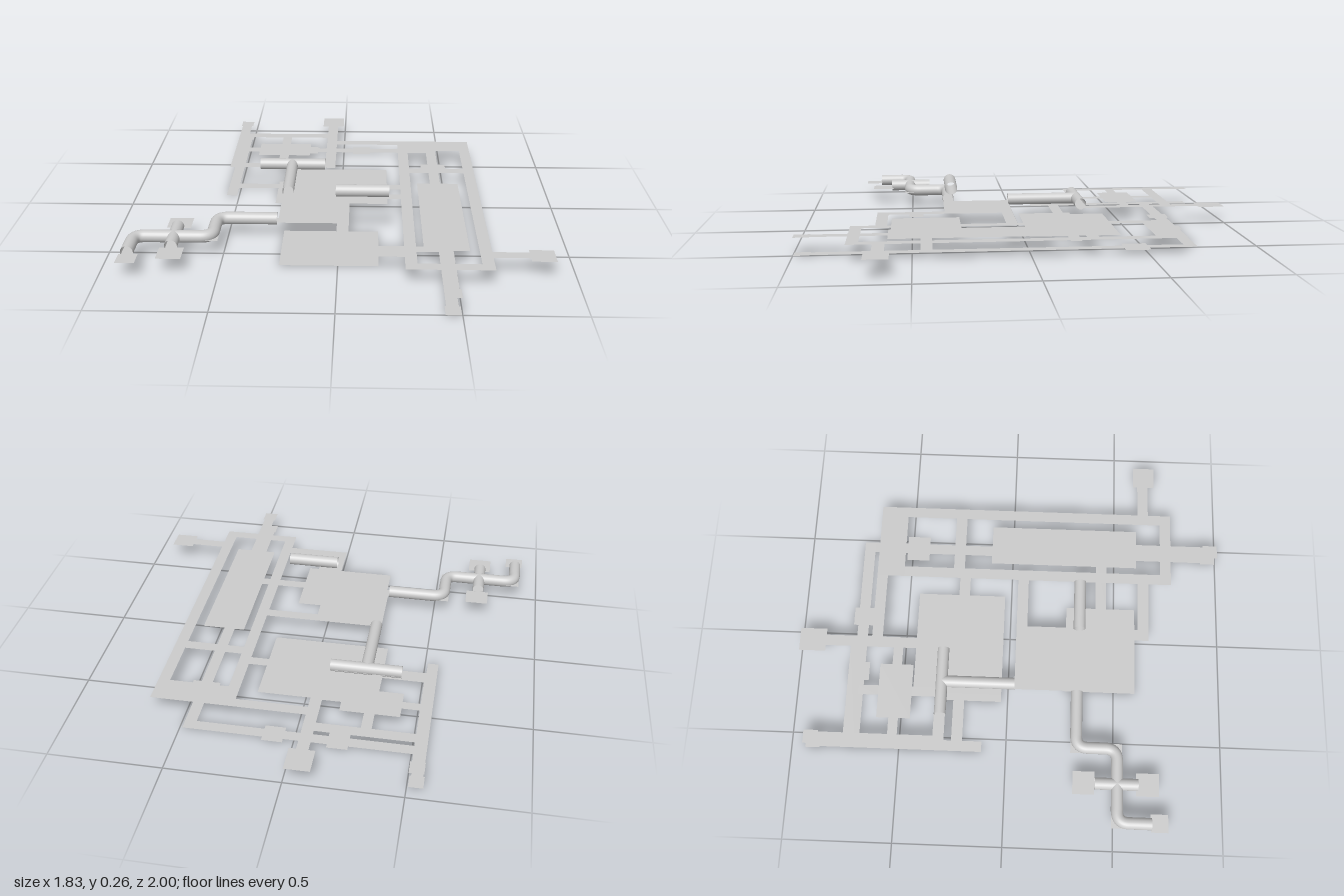
import * as THREE from 'three';
import { mergeGeometries } from 'three/addons/utils/BufferGeometryUtils.js';

const LOW = 0, HIGH = 0.078;       // floor levels
const R = 0.0275, PIPE = 0.088;    // pipe radius and axis height
const mat = new THREE.MeshStandardMaterial({ color: 0xcccccc, side: THREE.DoubleSide });

// Flat floor made of rectangles [x0, z0, x1, z1] at height y
function floor(name, y, rects) {
  const parts = rects.map(([x0, z0, x1, z1]) =>
    new THREE.PlaneGeometry(x1 - x0, z1 - z0).rotateX(-Math.PI / 2)
      .translate((x0 + x1) / 2, y, (z0 + z1) / 2));
  const mesh = new THREE.Mesh(mergeGeometries(parts), mat);
  mesh.name = name;
  return mesh;
}

// Open pipe through [x, z] points with rounded bends. The optional joint rule
// trims its start: it maps the sideways offset of a point to the trim length.
function pipe(name, y, pts, joint) {
  const bend = 0.055;
  const p = pts.map(([x, z]) => new THREE.Vector3(x, y, z));
  const path = new THREE.CurvePath();
  let from = p[0];
  for (let i = 1; i < p.length - 1; i++) {
    const a = p[i].clone().add(p[i - 1].clone().sub(p[i]).setLength(bend));
    const b = p[i].clone().add(p[i + 1].clone().sub(p[i]).setLength(bend));
    path.add(new THREE.LineCurve3(from, a));
    path.add(new THREE.QuadraticBezierCurve3(a, p[i], b));
    from = b;
  }
  path.add(new THREE.LineCurve3(from, p[p.length - 1]));
  const geo = new THREE.TubeGeometry(path, p.length > 2 ? 60 : 1, R, 24);
  if (joint) {
    const pos = geo.attributes.position;
    const dir = p[1].clone().sub(p[0]).normalize();
    const v = new THREE.Vector3();
    for (let i = 0; i < pos.count; i++) {
      v.fromBufferAttribute(pos, i).sub(p[0]);
      const along = v.dot(dir);
      const trim = joint(v.z * dir.x - v.x * dir.z, v);
      if (along < R && along < trim) {
        v.addScaledVector(dir, trim - along).add(p[0]);
        pos.setXYZ(i, v.x, v.y, v.z);
      }
    }
  }
  const mesh = new THREE.Mesh(geo, mat);
  mesh.name = name;
  return mesh;
}
const crossJoint = side => Math.abs(side);            // mitred on both sides
const teeJoint = (side, v) => Math.max(0, v.z);       // open towards the branch only

export function createModel() {
  const g = new THREE.Group();
  g.name = 'floorPlan';

  // Lower level
  g.add(floor('lowerHall', LOW, [
    [-0.28, -0.452, 0.223, -0.032], [-0.316, -0.29, -0.28, -0.032],
  ]));
  g.add(floor('lowerFrontRoom', LOW, [[-0.252, 0.27, 0.175, 0.602]]));
  g.add(floor('lowerCorridors', LOW, [
    [-0.562, -0.88, -0.512, -0.115],  // right side
    [-0.512, -0.742, 0.49, -0.69],    // back
    [0.439, -0.69, 0.49, 0.93],       // left side, front to back
    [-0.512, -0.258, -0.316, -0.206], // to hall
    [0.223, -0.258, 0.33, -0.206],
    [0.175, 0.412, 0.439, 0.464],     // to front room
  ]));
  g.add(floor('lowerSmallRooms', LOW, [
    [0.402, -0.528, 0.528, -0.418], [0.433, 0.93, 0.497, 1],
    [0.048, -0.763, 0.139, -0.668], [-0.232, -0.763, -0.141, -0.668],
    [-0.568, -0.938, -0.505, -0.87],
  ]));

  // Upper level: ring corridor with its links
  g.add(floor('upperRing', HIGH, [
    [0.282, -0.658, 0.652, -0.528], [0.282, 0.72, 0.652, 0.772],
    [0.282, -0.528, 0.333, 0.72], [0.6, -0.528, 0.652, 0.72],
    [0.333, -0.287, 0.6, -0.234],
  ]));
  g.add(floor('upperRingLinks', HIGH, [
    [-0.036, -0.658, 0.282, -0.607], [0.652, 0.61, 0.808, 0.662],
    [0.043, 0.03, 0.282, 0.081],
    [-0.01, 0.348, 0.043, 0.662], [0.043, 0.61, 0.282, 0.662],
    [0.043, 0.448, 0.107, 0.512],
  ]));
  g.add(floor('upperCentralRoom', HIGH, [[-0.273, 0.03, 0.043, 0.348]]));

  // Upper level: long room inside the ring, with its corridor to the front
  g.add(floor('upperLongRoom', HIGH, [[0.365, -0.103, 0.56, 0.602]]));
  g.add(floor('upperFrontCorridor', HIGH, [[0.439, 0.602, 0.49, 0.93]]));

  // Upper level: back block and the corridors around it
  g.add(floor('upperBackRoom', HIGH, [[-0.434, -0.607, -0.172, -0.45]]));
  g.add(floor('upperBackCorridors', HIGH, [
    [-0.562, -0.87, -0.512, -0.288], [-0.088, -0.88, -0.036, -0.288],
    [-0.512, -0.755, -0.088, -0.702], [-0.512, -0.34, -0.088, -0.288],
    [-0.325, -0.702, -0.279, -0.607], [-0.325, -0.45, -0.279, -0.34],
    [-0.512, -0.55, -0.434, -0.505], [-0.172, -0.55, -0.088, -0.505],
    [-0.273, -0.288, -0.225, 0.03],
  ]));

  // Upper level: floor inside the winding pipe
  g.add(floor('pipeFloor', HIGH, [
    [-0.569, 0.298, -0.273, 0.347], [-0.569, 0.347, -0.52, 0.536],
    [-0.908, 0.487, -0.569, 0.536], [-0.908, 0.536, -0.859, 0.665],
    [-0.733, 0.412, -0.684, 0.487], [-0.733, 0.536, -0.684, 0.602],
  ]));
  g.add(floor('upperSmallRooms', HIGH, [
    [0.808, 0.588, 0.914, 0.692], [-0.117, -1, -0.006, -0.875],
    [-0.568, -0.938, -0.505, -0.87], [0.433, 0.93, 0.497, 1],
    [-0.92, 0.665, -0.838, 0.744], [-0.759, 0.31, -0.653, 0.41], [-0.759, 0.6, -0.653, 0.704],
  ]));

  // Winding pipe: four arms meeting at an open crossing
  const c = [-0.709, 0.512];
  g.add(pipe('windingPipeLong', PIPE,
    [c, [-0.545, 0.512], [-0.545, 0.323], [-0.278, 0.323]], crossJoint));
  g.add(pipe('windingPipeShort', PIPE, [c, [-0.884, 0.512], [-0.884, 0.668]], crossJoint));
  g.add(pipe('crossPipeBack', PIPE, [c, [-0.709, 0.41]], crossJoint));
  g.add(pipe('crossPipeFront', PIPE, [c, [-0.709, 0.608]], crossJoint));

  // Back pipe: open tee
  const t = [-0.25, -0.312];
  g.add(pipe('backPipeRight', PIPE, [t, [-0.41, -0.312]], teeJoint));
  g.add(pipe('backPipeLeft', PIPE, [t, [-0.087, -0.312]], teeJoint));
  g.add(pipe('backPipeBranch', PIPE, [t, [-0.25, 0.03]], crossJoint));

  g.add(pipe('raisedPipe', 0.228, [[-0.015, 0.323], [0.22, 0.323]]));
  return g;
}
